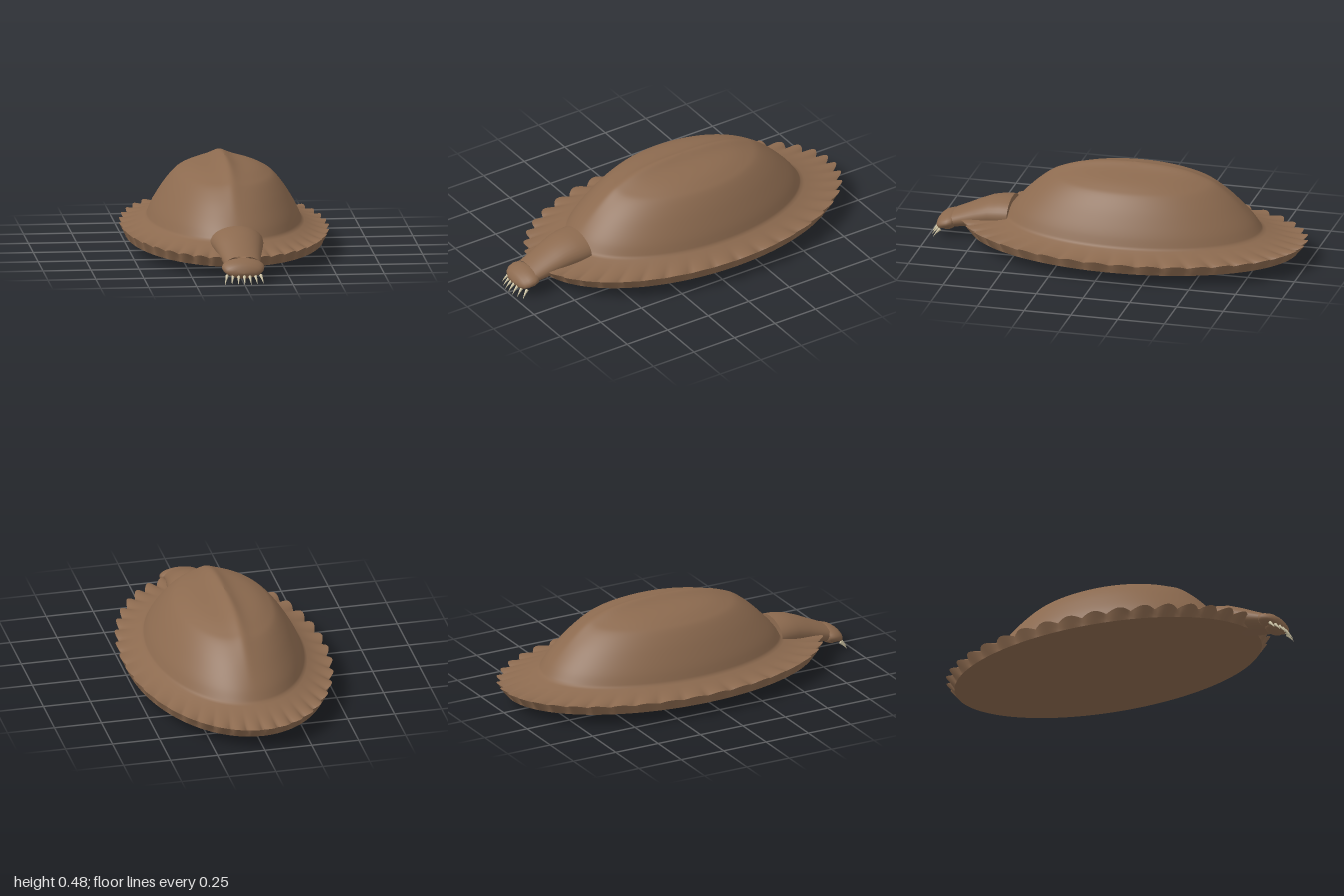
import * as THREE from 'three';

const CENTER_Z = -0.08;
const SEGMENTS = 320;
const LOBES = 40;

// Skin a list of equal-length closed rings of [x, y, z] points
function loft(rings) {
  const n = rings[0].length;
  const index = [];
  for (let i = 0; i < rings.length - 1; i++) {
    for (let j = 0; j < n; j++) {
      const k = (j + 1) % n;
      const a = i * n + j, b = (i + 1) * n + j, c = (i + 1) * n + k, d = i * n + k;
      index.push(a, b, c, a, c, d);
    }
  }
  const geo = new THREE.BufferGeometry();
  geo.setAttribute('position', new THREE.Float32BufferAttribute(rings.flat(2), 3));
  geo.setIndex(index);
  geo.computeVertexNormals();
  return geo;
}

function ring(count, fn) {
  return Array.from({ length: count }, (_, j) => fn((j / count) * Math.PI * 2));
}

// Horizontal ellipse ring; scallop is how strongly the frill lobes show
function bodyRing(rx, rz, height, scallop = 0) {
  return ring(SEGMENTS, (a) => {
    const notch = scallop * (1 - Math.abs(Math.sin((a * LOBES) / 2)));
    const k = 1 - 0.04 * notch;
    const x = Math.sin(a) * rx * k;
    return [x, height(x) - 0.018 * notch, CENTER_Z + Math.cos(a) * rz * k];
  });
}

// Tube along z from sections [z, centre y, half width, half height]
function zTube(sections, sides) {
  return loft(sections.map(([z, y, w, h]) =>
    ring(sides, (a) => [Math.sin(a) * w, y + Math.cos(a) * h, z])));
}

export function createModel() {
  const model = new THREE.Group();
  const skin = new THREE.MeshStandardMaterial({ color: 0x8c6a4f });
  skin.name = 'brown skin';
  const horn = new THREE.MeshStandardMaterial({ color: 0xcfc5a5 });
  horn.name = 'pale horn';

  const add = (name, geo, material = skin, parent = model) => {
    const mesh = new THREE.Mesh(geo, material);
    mesh.name = name;
    parent.add(mesh);
    return mesh;
  };

  // Domed back with a central keel: profile of [radius fraction, height]
  const profile = new THREE.CatmullRomCurve3([
    [0, 0.45], [0.25, 0.446], [0.43, 0.432], [0.56, 0.409], [0.64, 0.388], [0.75, 0.337],
    [0.85, 0.277], [0.94, 0.213], [1, 0.157],
  ].map(([r, y]) => new THREE.Vector3(r, y, 0)));
  const shellRings = profile.getPoints(40).map(({ x: r, y }) => {
    const fade = Math.max(0, 1 - r * r) ** 1.5;
    return bodyRing(0.4 * r, 0.68 * r, (x) => y + 0.035 * fade / (1 + (x / 0.045) ** 2));
  });

  // Skirt flaring out from the dome, its grooves deepening towards the rim
  for (let i = 1; i <= 12; i++) {
    const t = i / 12;
    const y = 0.12 + 0.037 * (1 - t) ** 2.2;
    shellRings.push(bodyRing(0.4 + 0.14 * t, 0.68 + 0.24 * t, () => y, t ** 2.5));
  }
  add('shell', loft(shellRings));

  // Scalloped rim face blending into a smooth lower edge
  const rimRings = [0, 0.25, 0.5, 0.75, 1].map((t) =>
    bodyRing(0.54 - 0.03 * t, 0.92 - 0.05 * t, () => 0.12 - 0.06 * t, (1 - t) ** 0.8));
  add('rim', loft(rimRings));

  // Flat underside
  add('underside', loft([bodyRing(0.51, 0.87, () => 0.06), bodyRing(0, 0, () => 0.06)]));

  // Head: tapered neck, blunt muzzle and mouth
  const head = new THREE.Group();
  head.name = 'head';
  model.add(head);
  const neck = [
    [0.57, 0.15, 0.137, 0.083], [0.62, 0.149, 0.134, 0.083], [0.68, 0.143, 0.125, 0.078],
    [0.75, 0.125, 0.112, 0.068], [0.82, 0.105, 0.1, 0.055], [0.88, 0.088, 0.092, 0.045],
  ];
  add('neck', zTube(neck, 32), skin, head);
  add('neckBack', zTube([[0.57, 0.15, 0, 0], neck[0]], 32), skin, head);
  add('muzzle', zTube([
    [0.865, 0.085, 0, 0], [0.866, 0.085, 0.09, 0.035], [0.876, 0.084, 0.105, 0.04],
    [0.9, 0.08, 0.111, 0.043], [0.93, 0.073, 0.105, 0.041], [0.95, 0.065, 0.09, 0.034],
    [0.963, 0.06, 0.06, 0.022], [0.968, 0.058, 0, 0],
  ], 32), skin, head);
  const mouth = add('mouth', new THREE.SphereGeometry(1, 24, 16), skin, head);
  mouth.scale.set(0.065, 0.025, 0.042);
  mouth.position.set(0, 0.048, 0.915);

  // Fan of curved claws under the muzzle
  const clawGeo = new THREE.ConeGeometry(0.009, 0.056, 10, 6).translate(0, 0.028, 0);
  const p = clawGeo.attributes.position;
  for (let i = 0; i < p.count; i++) p.setZ(i, p.getZ(i) + 3.2 * p.getY(i) ** 2);
  clawGeo.rotateX(THREE.MathUtils.degToRad(128));
  clawGeo.computeVertexNormals();
  for (let i = -3; i <= 3; i++) {
    const claw = add('claw', clawGeo, horn, head);
    const x = i * 0.029;
    claw.position.set(x, 0.044, 0.96 - 3 * x * x);
    claw.rotation.y = i * 0.12;
  }

  return model;
}
